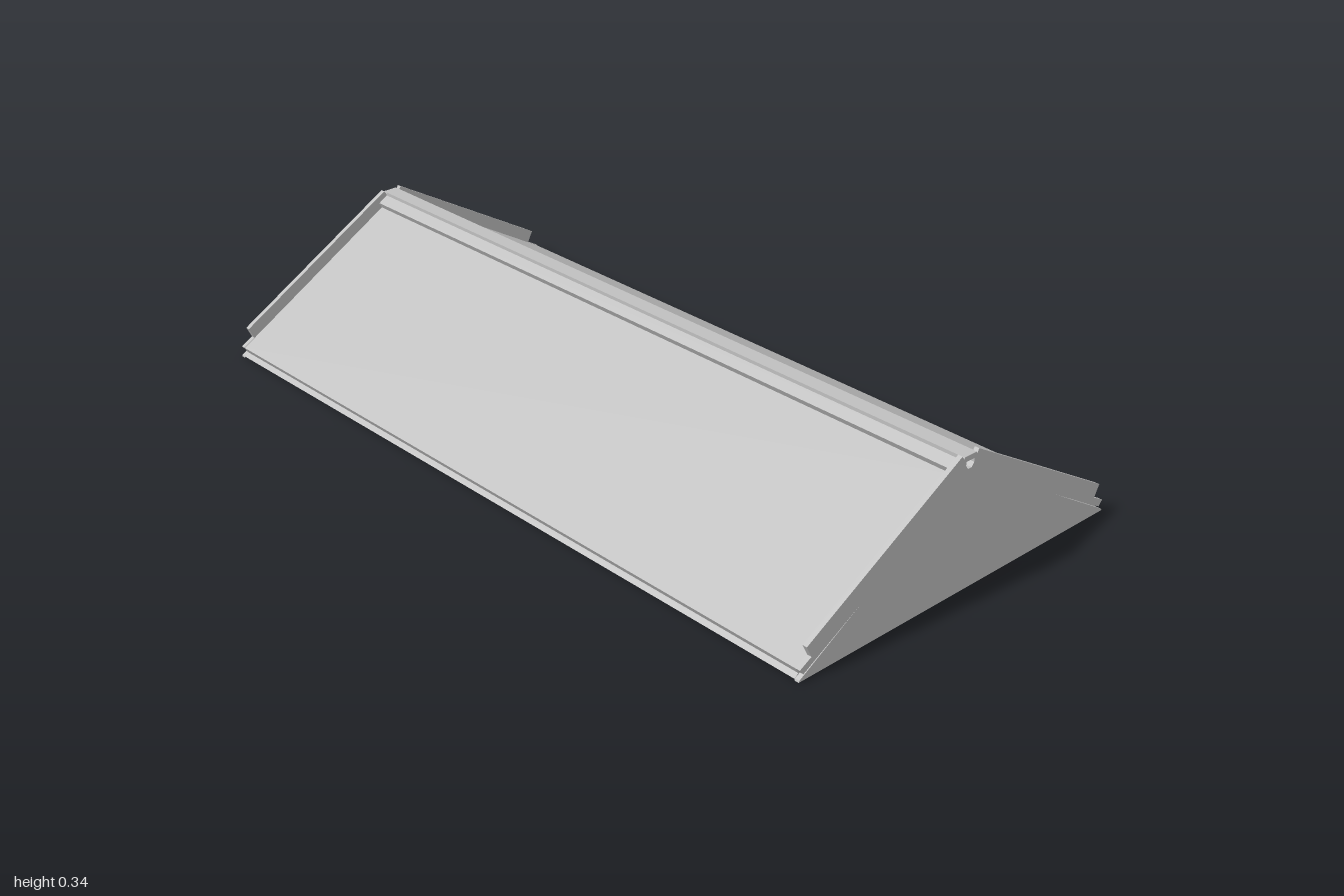
import * as THREE from 'three';

// Closed shape in the (z, y) plane, mirrored about z = 0.
// half: points on the +z side, from the bottom up
function mirroredShape(half, bottom = []) {
  const pts = [
    ...half.map(([z, y]) => new THREE.Vector2(z, y)),
    ...half.slice().reverse().map(([z, y]) => new THREE.Vector2(-z, y)),
    ...bottom.map(([z, y]) => new THREE.Vector2(z, y)),
  ];
  const shape = new THREE.Shape(pts);
  // Small keyhole running through the ridge
  shape.holes.push(new THREE.Path([
    [-0.013, 0.319], [-0.013, 0.31], [-0.006, 0.3], [0.006, 0.3], [0.013, 0.31], [0.013, 0.319],
  ].map(([z, y]) => new THREE.Vector2(z, y))));
  return shape;
}

// Extrude a (z, y) shape along x, centred on x = 0
function extrudeAlongX(shape, length) {
  const geo = new THREE.ExtrudeGeometry(shape, { depth: length, bevelEnabled: false });
  geo.translate(0, 0, -length / 2);
  geo.rotateY(-Math.PI / 2);
  return geo;
}

export function createModel() {
  const model = new THREE.Group();
  const grey = new THREE.MeshStandardMaterial({ color: 0xc0c0c0 });
  grey.name = 'lightGrey';
  const plateThickness = 0.012;

  // Sloped panels with eave lips and a stepped ridge cap, open underneath
  const roofShape = mirroredShape([
    [0.494, 0], [0.499, 0.003], [0.489, 0.0125], [0.497, 0.027],
    [0.038, 0.294], [0.045, 0.308], [0.02, 0.3235], [0.02, 0.332],
  ], [[0, 0.284]]);
  const roof = new THREE.Mesh(extrudeAlongX(roofShape, 2 - 2 * plateThickness), grey);
  roof.name = 'roofPanels';
  model.add(roof);

  // Gable plates rising above the panels, each with a thin slot at both eaves
  const gableShape = mirroredShape([
    [0.5, 0], [0.498, 0.004], [0.315, 0.113], [0.487, 0.0145], [0.498, 0.028],
    [0.465, 0.046], [0.48, 0.0755], [0.027, 0.337], [0.021, 0.328], [0.019, 0.332],
  ]);
  const gableGeo = extrudeAlongX(gableShape, plateThickness);
  for (const side of [-1, 1]) {
    const gable = new THREE.Mesh(gableGeo, grey);
    gable.name = side > 0 ? 'leftGablePlate' : 'rightGablePlate';
    gable.position.x = side * (1 - plateThickness / 2);
    model.add(gable);
  }
  return model;
}
